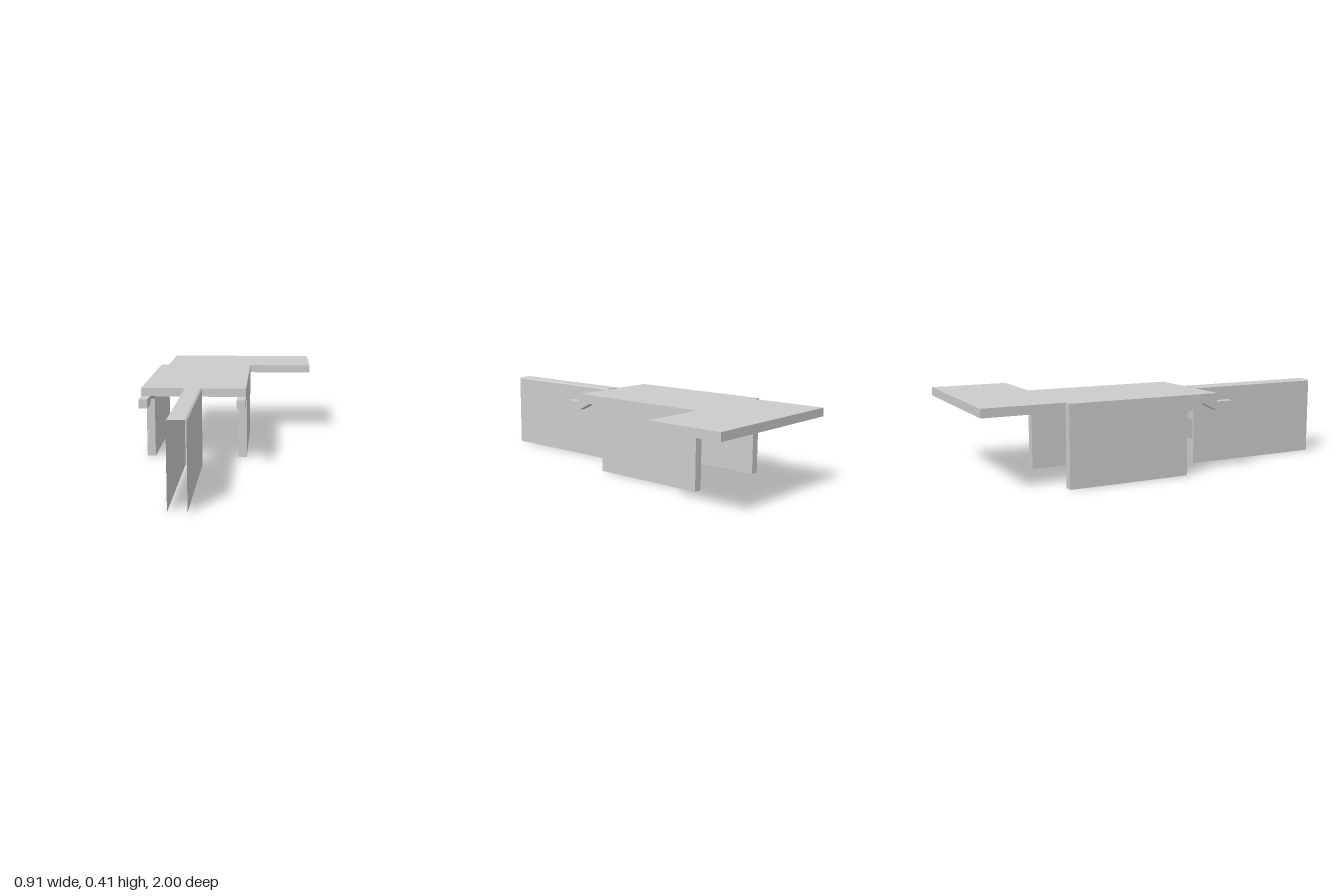
import * as THREE from 'three';

const solid = new THREE.MeshStandardMaterial({ color: 0xcccccc, flatShading: true });
const sheet = new THREE.MeshStandardMaterial({ color: 0xcccccc, flatShading: true, side: THREE.DoubleSide });

const toShape = (pts) => new THREE.Shape(pts.map(([a, b]) => new THREE.Vector2(a, b)));

function add(parent, name, geometry, material) {
  const mesh = new THREE.Mesh(geometry, material);
  mesh.name = name;
  parent.add(mesh);
  return mesh;
}

// Sweeps an open 2D path straight between two depths, as a thin sheet
function sweep(path, place, d0, d1) {
  const pos = [];
  for (let i = 0; i < path.length - 1; i++) {
    const a = place(path[i], d0), b = place(path[i + 1], d0);
    const c = place(path[i + 1], d1), d = place(path[i], d1);
    pos.push(...a, ...b, ...c, ...a, ...c, ...d);
  }
  const g = new THREE.BufferGeometry();
  g.setAttribute('position', new THREE.Float32BufferAttribute(pos, 3));
  g.computeVertexNormals();
  return g;
}

// Hollow side leg with a hooked arm, open underneath; profile is in (z, y)
function createLeg(name, x0, x1) {
  const leg = new THREE.Group();
  leg.name = name;
  const profile = [
    [0.05, 0], [0.05, 0.32], [0.14, 0.364], [0.228, 0.32], [0.32, 0.32],
    [0.32, 0.366], [0.22, 0.366], [-0.59, 0.366], [-0.59, 0],
  ];
  for (const x of [x0, x1]) {
    const side = new THREE.ShapeGeometry(toShape(profile)).rotateY(-Math.PI / 2).translate(x, 0, 0);
    add(leg, 'legSide', side, sheet);
  }
  add(leg, 'legRim', sweep(profile, ([z, y], x) => [x, y, z], x0, x1), sheet);
  return leg;
}

// Long hollow fin, open underneath and at the front
function createFin() {
  const fin = new THREE.Group();
  fin.name = 'frontFin';
  const back = 0.228, x0 = -0.228, x1 = -0.138;
  const section = [
    [x0, 0], [x0, 0.407], [x0 + 0.008, 0.413], [x1 - 0.008, 0.413], [x1, 0.407], [x1, 0],
  ];
  add(fin, 'finShell', sweep(section, ([x, y], z) => [x, y, z], back, 1), sheet);

  // End wall with a rectangular window
  const wall = toShape(section);
  wall.holes.push(toShape([[-0.217, 0.13], [-0.15, 0.13], [-0.15, 0.235], [-0.217, 0.235]]));
  add(fin, 'finEndWall', new THREE.ShapeGeometry(wall).translate(0, 0, back), sheet);
  return fin;
}

export function createModel() {
  const model = new THREE.Group();
  model.name = 'bracket';

  // L-shaped top plate; outline is in (x, z)
  const outline = toShape([
    [-0.455, -0.59], [-0.41, -0.59], [-0.41, -1], [0.452, -1],
    [0.452, -0.59], [0.09, -0.59], [0.09, 0.225], [-0.455, 0.225],
  ]);
  const plate = new THREE.ExtrudeGeometry(outline, { depth: 0.044, bevelEnabled: false });
  add(model, 'topPlate', plate.rotateX(Math.PI / 2).translate(0, 0.41, 0), solid);

  model.add(createLeg('rightLeg', -0.455, -0.41));
  model.add(createLeg('leftLeg', 0.045, 0.09));
  model.add(createFin());
  return model;
}
